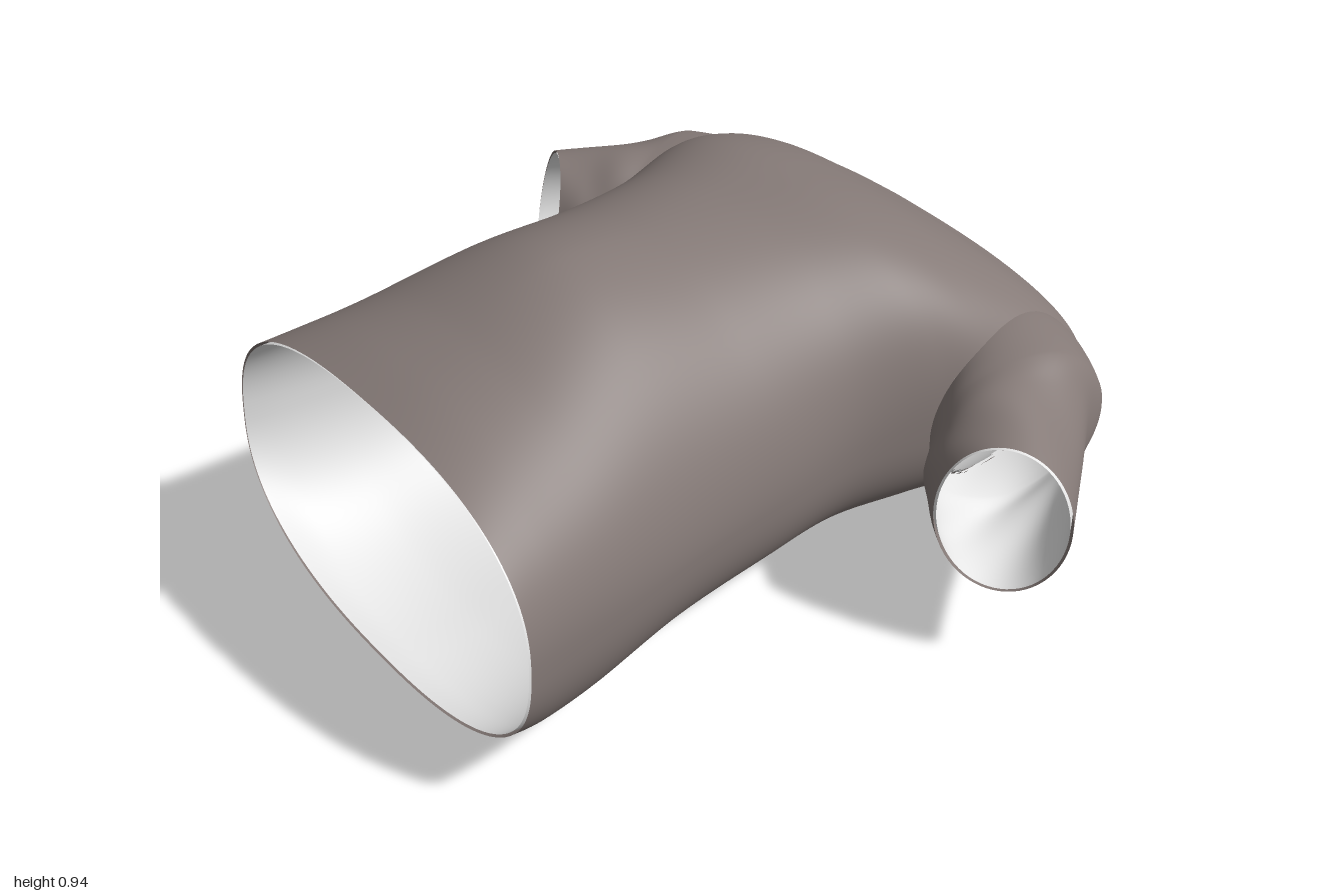
import * as THREE from 'three';

const outerCloth = new THREE.MeshStandardMaterial({ color: 0x857a77, side: THREE.DoubleSide });
outerCloth.name = 'outer cloth';
const innerCloth = new THREE.MeshStandardMaterial({ color: 0xe8e8e8, side: THREE.DoubleSide });
innerCloth.name = 'inner cloth';
const thickness = 0.007;

// Smoothly interpolate one row of ring parameters
function sampleRing(rings, v) {
  const f = v * (rings.length - 1);
  const i = Math.min(Math.floor(f), rings.length - 2);
  const t = f - i;
  const at = k => rings[Math.max(0, Math.min(rings.length - 1, k))];
  return rings[i].map((p1, k) => {
    const p2 = at(i + 1)[k];
    const m1 = (p2 - at(i - 1)[k]) / 2, m2 = (at(i + 2)[k] - p1) / 2;
    const t2 = t * t, t3 = t2 * t;
    return (2 * t3 - 3 * t2 + 1) * p1 + (t3 - 2 * t2 + t) * m1 + (3 * t2 - 2 * t3) * p2 + (t3 - t2) * m2;
  });
}

// Open tube through the rings; cut(x, y, z) removes faces, flip reverses them
function loft(rings, point, rows, cols, flip, cut) {
  const pos = [], index = [];
  for (let i = 0; i <= rows; i++) {
    const ring = sampleRing(rings, i / rows);
    for (let j = 0; j < cols; j++) pos.push(...point(ring, (j / cols) * Math.PI * 2, i / rows));
  }
  for (let i = 0; i < rows; i++) {
    for (let j = 0; j < cols; j++) {
      const a = i * cols + j, b = i * cols + (j + 1) % cols, c = a + cols, d = b + cols;
      const mid = [0, 1, 2].map(k => (pos[a * 3 + k] + pos[d * 3 + k]) / 2);
      if (cut && cut(...mid)) continue;
      index.push(...(flip ? [a, c, b, b, c, d] : [a, b, c, b, d, c]));
    }
  }
  const geo = new THREE.BufferGeometry();
  geo.setAttribute('position', new THREE.Float32BufferAttribute(pos, 3));
  geo.setIndex(index);
  geo.computeVertexNormals();
  return geo;
}

// Copy of a shell set in by the cloth thickness and turned to face inwards
function liningOf(shell) {
  const geo = shell.clone();
  const pos = geo.attributes.position.array, nor = geo.attributes.normal.array;
  for (let i = 0; i < pos.length; i++) pos[i] -= nor[i] * thickness;
  geo.setIndex(Array.from(geo.index.array).reverse());
  geo.computeVertexNormals();
  return geo;
}

// Dark outside with a pale lining
function addCloth(group, name, shell) {
  const part = new THREE.Group();
  part.name = name;
  const outside = new THREE.Mesh(shell, outerCloth);
  outside.name = name + 'Outside';
  const lining = new THREE.Mesh(liningOf(shell), innerCloth);
  lining.name = name + 'Lining';
  part.add(outside, lining);
  group.add(part);
}

// Torso rings from hem to neckline:
// zTop, zSide, zBottom, halfWidth, yTop, ySide, yBottom, roundness top, bottom
const torsoRings = [
  [0.91, 0.93, 0.96, 0.59, 0.79, 0.42, 0.06, 2.5, 2.4],
  [0.82, 0.84, 0.86, 0.575, 0.82, 0.42, 0.01, 2.3, 2.4],
  [0.68, 0.68, 0.70, 0.555, 0.86, 0.42, 0.0, 2.1, 2.4],
  [0.42, 0.42, 0.45, 0.525, 0.94, 0.42, 0.04, 1.85, 2.4],
  [0.15, 0.15, 0.17, 0.512, 0.915, 0.42, 0.05, 1.95, 2.4],
  [-0.08, -0.08, -0.08, 0.508, 0.897, 0.42, 0.05, 2.2, 2.4],
  [-0.30, -0.30, -0.30, 0.555, 0.882, 0.42, 0.05, 2.6, 2.6],
  [-0.46, -0.46, -0.46, 0.605, 0.83, 0.42, 0.05, 2.5, 2.6],
  [-0.59, -0.66, -0.61, 0.63, 0.75, 0.42, 0.07, 2.3, 2.3],
  [-0.655, -0.79, -0.75, 0.59, 0.70, 0.42, 0.13, 2.0, 2.0],
  [-0.68, -0.87, -0.87, 0.43, 0.685, 0.41, 0.19, 1.9, 2.0],
  [-0.70, -0.91, -0.962, 0.24, 0.67, 0.40, 0.24, 1.8, 2.1],
];

// Depth of a ring at relative height t (-1 bottom, 0 side, 1 top)
const ringDepth = ([zT, zM, zB], t) => zM + t * (zT - zB) / 2 + t * t * ((zT + zB) / 2 - zM);

function torsoPoint(ring, a) {
  const [, , , w, yT, yM, yB, nT, nB] = ring;
  const c = Math.cos(a), s = Math.sin(a);
  const e = 2 / (s >= 0 ? nT : nB);
  const t = Math.sign(s) * Math.abs(s) ** e;
  return [
    w * Math.sign(c) * Math.abs(c) ** e,
    yM + t * (t >= 0 ? yT - yM : yM - yB),
    ringDepth(ring, t),
  ];
}

// Half width of the torso at a given height and depth, found by bisection
function torsoWidth(y, z) {
  let lo = 0, hi = 1, x = 0;
  for (let k = 0; k < 24; k++) {
    const v = (lo + hi) / 2;
    const ring = sampleRing(torsoRings, v);
    const [, , , w, yT, yM, yB, nT, nB] = ring;
    const t = Math.max(-1, Math.min(1, y > yM ? (y - yM) / (yT - yM) : (y - yM) / (yM - yB)));
    const n = t >= 0 ? nT : nB;
    x = w * (1 - Math.abs(t) ** n) ** (1 / n);
    if (ringDepth(ring, t) > z) lo = v; else hi = v;
  }
  return x;
}

// Armhole ellipse on the side of the torso, where the sleeve is sewn on
const arm = { y: 0.41, z: -0.53, ry: 0.225, rz: 0.245 };
const inArmhole = (x, y, z) =>
  Math.abs(x) > 0.4 && ((z - arm.z) / arm.rz) ** 2 + ((y - arm.y) / arm.ry) ** 2 < 0.93;

// Sleeve rings from armhole to cuff:
// outer x, z, inner x, z, height of centre, half height, tilt
const sleeveRings = [
  [0.61, -0.775, 0.56, -0.275, 0.41, 0.225, 0],
  [0.73, -0.70, 0.59, -0.235, 0.41, 0.215, 0],
  [0.79, -0.585, 0.63, -0.185, 0.405, 0.207, 0],
  [0.885, -0.44, 0.675, -0.145, 0.40, 0.195, 0.015],
  [1.0, -0.28, 0.725, -0.115, 0.40, 0.182, 0.03],
];

function sleevePoint(side) {
  return ([ox, oz, ix, iz, yc, b, tilt], a, v) => {
    // Soft folds that fade out at both ends
    const fold = 1 + 0.02 * Math.sin(v * Math.PI) * Math.sin(5 * a + 9 * v);
    const c = Math.cos(a) * fold / 2, s = Math.sin(a) * fold;
    const p = new THREE.Vector3(
      (ox + ix) / 2 + (ox - ix) * c - 0.7 * tilt * s,
      yc + b * s,
      (oz + iz) / 2 + (oz - iz) * c - tilt * s);
    // The first rows settle onto the armhole
    const k = Math.max(0, 1 - v * 4);
    if (k > 0) {
      const y = arm.y + arm.ry * Math.sin(a), z = arm.z - arm.rz * Math.cos(a);
      p.lerp(new THREE.Vector3(torsoWidth(y, z) - 0.002, y, z), k);
    }
    return [side * p.x, p.y, p.z];
  };
}

export function createModel() {
  const shirt = new THREE.Group();
  shirt.name = 'shirt';
  addCloth(shirt, 'torso', loft(torsoRings, torsoPoint, 132, 144, true, inArmhole));
  for (const side of [1, -1]) {
    addCloth(shirt, side > 0 ? 'leftSleeve' : 'rightSleeve',
      loft(sleeveRings, sleevePoint(side), 32, 64, side < 0));
  }
  return shirt;
}
